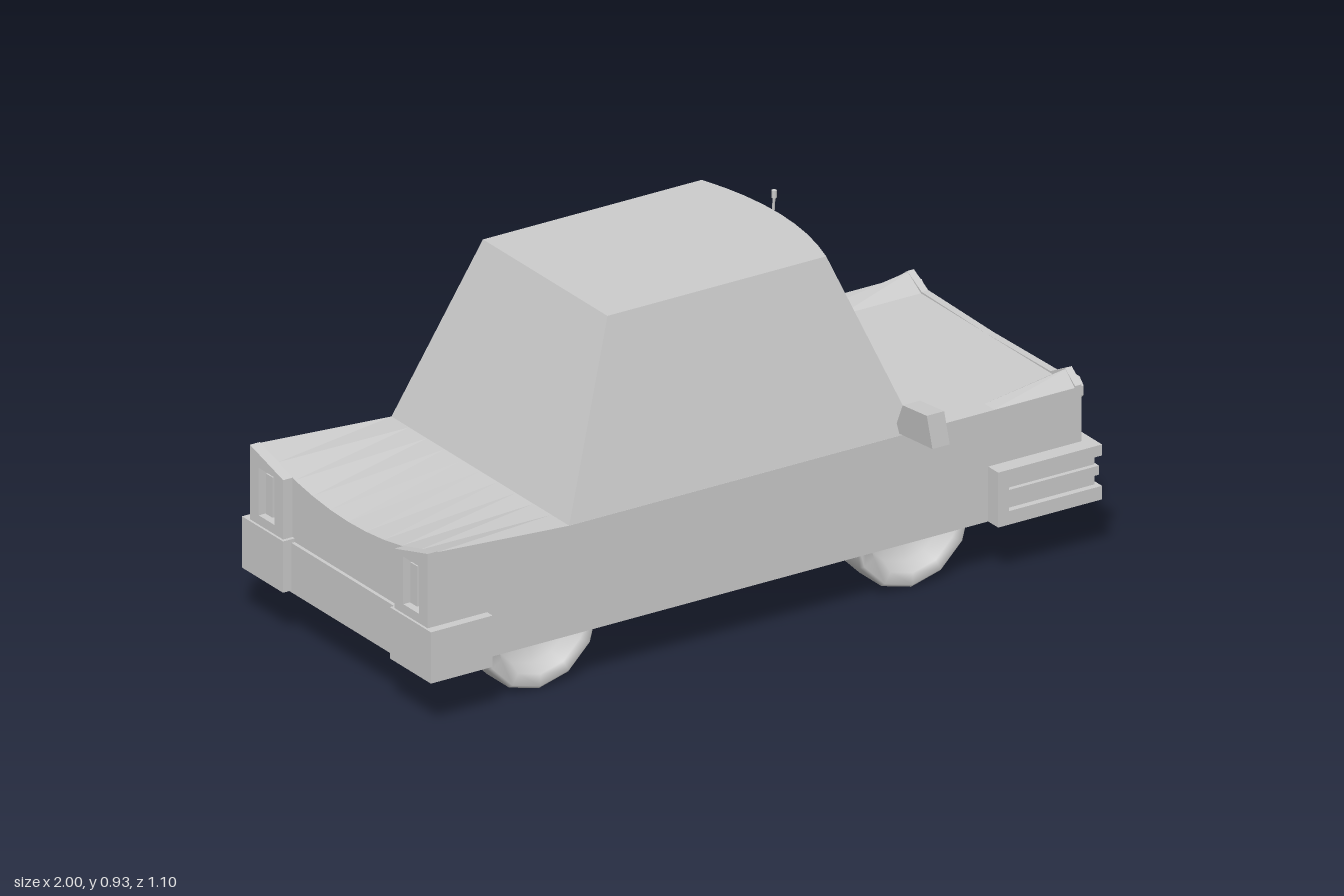
import * as THREE from 'three';

const grey = new THREE.MeshStandardMaterial({ color: 0xcccccc, side: THREE.DoubleSide });

export function createModel() {
  const car = new THREE.Group();
  car.name = 'car';

  const add = (name, geometry) => {
    const mesh = new THREE.Mesh(geometry, grey);
    mesh.name = name;
    car.add(mesh);
    return mesh;
  };

  // Box given by its limits on each axis
  const box = (name, x0, x1, y0, y1, z0, z1) =>
    add(name, new THREE.BoxGeometry(x1 - x0, y1 - y0, Math.abs(z1 - z0))
      .translate((x0 + x1) / 2, (y0 + y1) / 2, (z0 + z1) / 2));

  // Outline in [z, y], extruded along x from x0 to x1
  const toPoints = (pts) => pts.map(([z, y]) => new THREE.Vector2(-z, y));
  const plateGeometry = (pts, x0, x1, holes = []) => {
    const shape = new THREE.Shape(toPoints(pts));
    holes.forEach((h) => shape.holes.push(new THREE.Path(toPoints(h))));
    return new THREE.ExtrudeGeometry(shape, { depth: x1 - x0, bevelEnabled: false })
      .rotateY(Math.PI / 2).translate(x0, 0, 0);
  };
  const rect = (z0, z1, y0, y1) => [[z0, y0], [z1, y0], [z1, y1], [z0, y1]];

  // Move every vertex by a rule, then facet the result
  const reshape = (geometry, rule) => {
    const p = geometry.attributes.position;
    const v = new THREE.Vector3();
    for (let i = 0; i < p.count; i++) {
      rule(v.fromBufferAttribute(p, i));
      p.setXYZ(i, v.x, v.y, v.z);
    }
    const flat = geometry.index ? geometry.toNonIndexed() : geometry;
    flat.computeVertexNormals();
    return flat;
  };

  // Lower body, with a boot lid dished towards the rear
  add('body', reshape(new THREE.BoxGeometry(2, 1, 2, 2, 1, 10), (v) => {
    const top = v.y > 0;
    const rear = v.x < -0.5;
    v.y = top ? (rear ? 0.41 + 0.066 * v.z * v.z : 0.45) : 0.15;
    v.x = rear ? -0.965 : v.x > 0.5 ? 0.945 : -0.57;
    v.z *= 0.4;
  }));

  // Cabin with sloping sides and a bowed windscreen
  add('cabin', reshape(new THREE.BoxGeometry(2, 1, 2, 1, 1, 8), (v) => {
    const t = v.y > 0 ? 1 : 0;
    const s = v.z;
    v.x = v.x > 0 ? 0.47 - 0.19 * t + 0.048 * (1 - s * s) : -0.57 + 0.195 * t;
    v.y = 0.448 + 0.482 * t;
    v.z = s * (0.4 - 0.12 * t);
  }));

  // Nose panel with grille slots
  const slots = [];
  for (let i = 0; i < 7; i++) {
    const z = -0.195 + i * 0.065;
    slots.push(rect(z - 0.018, z + 0.018, 0.302, 0.43));
  }
  add('nose', plateGeometry([
    [-0.4, 0.15], [0.4, 0.15], [0.4, 0.455], [0.355, 0.488], [0.29, 0.455],
    [0, 0.45], [-0.29, 0.455], [-0.355, 0.488], [-0.4, 0.455],
  ], 0.945, 0.965, slots));

  // Front bumper: core, lips and rear posts
  box('frontBumperCore', 0.69, 0.985, 0.155, 0.295, -0.427, 0.427);
  box('frontBumperTop', 0.685, 0.996, 0.27, 0.3, -0.445, 0.445);
  box('frontBumperBottom', 0.685, 0.996, 0.15, 0.187, -0.445, 0.445);

  // Rear bumper centre
  box('rearBumperCentre', -0.975, -0.94, 0.13, 0.265, -0.25, 0.25);

  for (const s of [1, -1]) {
    const side = s > 0 ? 'left' : 'right';

    box(side + 'FrontBumperPost', 0.685, 0.717, 0.15, 0.3, s * 0.4, s * 0.445);
    box(side + 'FrontBumperBar', 0.69, 0.99, 0.217, 0.242, s * 0.4, s * 0.44);

    // Rear bumper corner wrapping round the tail
    box(side + 'RearBumperSide', -1, -0.815, 0.135, 0.275, s * 0.38, s * 0.425);
    box(side + 'RearBumperCorner', -1, -0.94, 0.135, 0.275, s * 0.24, s * 0.425);

    // Tail lamp frame with an inset lens
    add(side + 'TailLampFrame', plateGeometry(
      [[s * 0.25, 0.275], [s * 0.4, 0.275], [s * 0.4, 0.478], [s * 0.25, 0.437]],
      -0.993, -0.963, [rect(s * 0.29, s * 0.36, 0.3, 0.43)]));
    box(side + 'TailLamp', -0.985, -0.963, 0.31, 0.42, s * 0.31, s * 0.34);

    // Wing ridge rising towards the headlamp
    add(side + 'WingRidge', reshape(plateGeometry(
      [[s * 0.4, 0.448], [s * 0.355, 0.488], [s * 0.29, 0.448]], 0.69, 0.965), (v) => {
      if (v.x < 0.8) v.y = 0.448;
    }));

    // Headlamp: octagonal rim with a recessed lens
    const rim = new THREE.LatheGeometry([[0, 0], [0.034, 0], [0.034, 0.035], [0.026, 0.035],
      [0.024, 0.025], [0, 0.027]].map(([r, y]) => new THREE.Vector2(r, y)), 8, Math.PI / 8);
    add(side + 'Headlamp', reshape(rim.rotateZ(-Math.PI / 2).translate(0.945, 0.43, s * 0.355), () => {}));

    // Door mirror
    add(side + 'Mirror', reshape(plateGeometry([
      [s * 0.395, 0.455], [s * 0.55, 0.47], [s * 0.541, 0.56], [s * 0.43, 0.547], [s * 0.39, 0.48],
    ], 0.42, 0.472), (v) => { v.x -= 0.12 * (v.y - 0.455); }));

    // Wheels with a dished outer face
    for (const [end, x] of [['Front', 0.49], ['Rear', -0.625]]) {
      const profile = [[0, 0], [0.172, 0], [0.177, 0.008], [0.177, 0.108], [0.168, 0.117],
        [0.135, 0.117], [0.12, 0.075], [0.05, 0.06], [0, 0.06]];
      const wheel = new THREE.LatheGeometry(profile.map(([r, y]) => new THREE.Vector2(r, y)), 12);
      wheel.rotateX(s * Math.PI / 2);
      wheel.translate(x, 0.177, s * 0.238);
      add(side + end + 'Wheel', wheel);
    }
  }

  // Aerial: base, slightly bent rod and tip
  add('aerialBase', new THREE.CylinderGeometry(0.015, 0.02, 0.022, 8).translate(0.55, 0.46, -0.36));
  const rod = new THREE.CatmullRomCurve3([[0.45, -0.36], [0.53, -0.367], [0.62, -0.362],
    [0.71, -0.366], [0.79, -0.36]].map(([y, z]) => new THREE.Vector3(0.55, y, z)));
  add('aerialRod', new THREE.TubeGeometry(rod, 16, 0.004, 6));
  add('aerialTip', new THREE.CylinderGeometry(0.007, 0.007, 0.02, 8).translate(0.55, 0.795, -0.36));

  return car;
}
